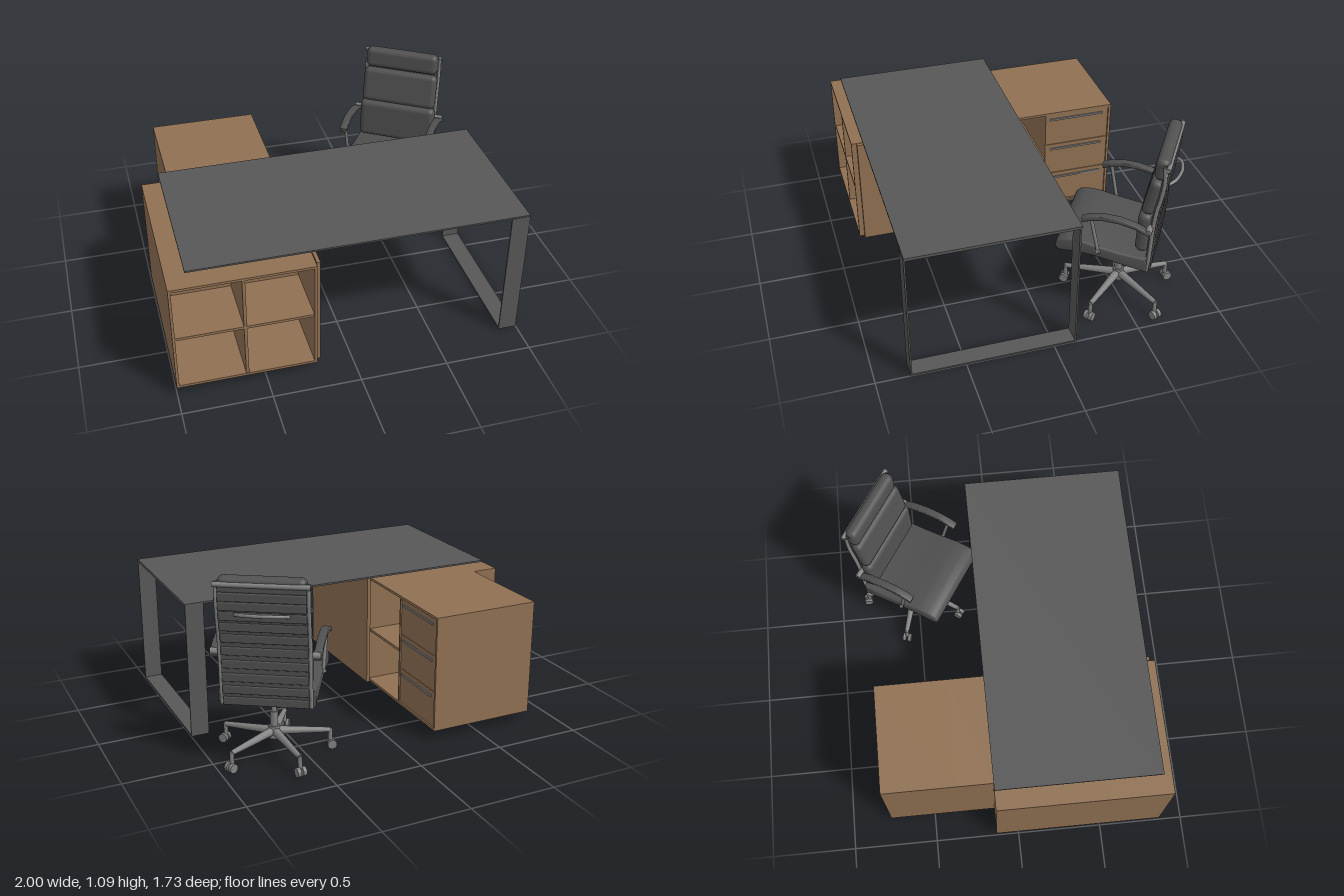
import * as THREE from 'three';
import { toCreasedNormals } from 'three/addons/utils/BufferGeometryUtils.js';
import { RoundedBoxGeometry } from 'three/addons/geometries/RoundedBoxGeometry.js';

const mat = (name, color) => {
  const m = new THREE.MeshStandardMaterial({ color });
  m.name = name;
  return m;
};
const V = (x, y, z) => new THREE.Vector3(x, y, z);

export function createModel() {
  const wood = mat('wood', 0x8f7052);
  const dark = mat('dark lacquer', 0x575757);
  const leather = mat('leather', 0x505050);
  const metal = mat('metal', 0x808080);

  const model = new THREE.Group();
  model.name = 'deskSet';
  const group = (name, parent = model) => {
    const g = new THREE.Group();
    g.name = name;
    parent.add(g);
    return g;
  };
  const add = (parent, name, geometry, material) => {
    const m = new THREE.Mesh(geometry, material);
    m.name = name;
    parent.add(m);
    return m;
  };
  // Box given by its limits on each axis
  const box = (parent, name, material, x0, x1, y0, y1, z0, z1) => {
    const m = add(parent, name, new THREE.BoxGeometry(x1 - x0, y1 - y0, z1 - z0), material);
    m.position.set((x0 + x1) / 2, (y0 + y1) / 2, (z0 + z1) / 2);
    return m;
  };
  // Cylinder between two points
  const rod = (parent, name, material, a, b, r0, r1 = r0, sides = 16) => {
    const d = b.clone().sub(a);
    const m = add(parent, name, new THREE.CylinderGeometry(r1, r0, d.length(), sides), material);
    m.position.copy(a).addScaledVector(d, 0.5);
    m.quaternion.setFromUnitVectors(V(0, 1, 0), d.normalize());
    return m;
  };
  const tube = (parent, name, material, points, r) => add(parent, name,
    new THREE.TubeGeometry(new THREE.CatmullRomCurve3(points), 24, r, 8), material);
  // Closed rectangular band of flat bar, extruded along z
  const band = (a0, a1, y0, y1, t, width) => {
    const rect = (s, d) => s.moveTo(a0 + d, y0 + d).lineTo(a1 - d, y0 + d)
      .lineTo(a1 - d, y1 - d).lineTo(a0 + d, y1 - d).closePath();
    const shape = rect(new THREE.Shape(), 0);
    shape.holes.push(rect(new THREE.Path(), t));
    return new THREE.ExtrudeGeometry(shape, { depth: width, bevelEnabled: false }).translate(0, 0, -width / 2);
  };
  // Outline in (z, y), extruded across x
  const across = (points, width, bevel) => {
    const shape = new THREE.Shape(points.map(p => new THREE.Vector2(...p)));
    const g = new THREE.ExtrudeGeometry(shape, {
      depth: width - 2 * bevel, bevelEnabled: bevel > 0, bevelSize: bevel,
      bevelThickness: bevel, bevelOffset: -bevel, bevelSegments: 3,
    }).translate(0, 0, -width / 2 + bevel).rotateY(-Math.PI / 2);
    return toCreasedNormals(g, 0.7);
  };

  // ---- Desk ----
  const desk = group('desk');
  box(desk, 'deskTop', dark, -0.9, 1, 0.785, 0.795, -0.135, 0.805);
  add(desk, 'deskLeg', band(-0.13, 0.808, 0, 0.787, 0.009, 0.105).rotateY(-Math.PI / 2), dark).position.x = 0.947;
  box(desk, 'deskSupport', dark, -0.63, -0.27, 0.73, 0.772, 0.085, 0.655);
  for (const x of [-0.58, -0.32]) for (const z of [0.13, 0.61]) {
    rod(desk, 'supportSpacer', dark, V(x, 0.77, z), V(x, 0.786, z), 0.02);
  }

  // ---- Cabinet ----
  const cab = group('cabinet');
  const L = -1, R = -0.215, B = 0.055, T = 0.73, p = 0.015;
  box(cab, 'core', wood, L, R, B, T, 0.04, 0.5);
  // front cubbies
  box(cab, 'cubbyLeftWall', wood, L, L + p, B, T, 0.5, 0.86);
  box(cab, 'cubbyRightWall', wood, R - p, R, B, T, 0.5, 0.86);
  box(cab, 'cubbyTop', wood, L + p, R - p, T - p, T, 0.5, 0.86);
  box(cab, 'cubbyBottom', wood, L + p, R - p, B, B + p, 0.5, 0.86);
  box(cab, 'cubbyUpright', wood, -0.616, -0.599, B + p, T - p, 0.5, 0.855);
  box(cab, 'cubbyShelf', wood, L + p, R - p, 0.386, 0.402, 0.5, 0.855);
  // sliding door on the right side
  box(cab, 'slidingDoor', wood, R + 0.004, -0.19, B, T, 0.02, 0.83);
  // open shelves on the right side
  box(cab, 'shelfTopWide', wood, L, R, T - p, T, -0.135, 0.04);
  box(cab, 'shelfBottomWide', wood, L, R, B, B + p, -0.135, 0.04);
  box(cab, 'shelfTopNarrow', wood, -0.845, R, T - p, T, -0.345, -0.135);
  box(cab, 'shelfBottomNarrow', wood, -0.845, R, B, B + p, -0.345, -0.135);
  box(cab, 'shelfBackWide', wood, L, -0.8, B + p, T - p, -0.135, 0.04);
  box(cab, 'shelfBackNarrow', wood, -0.845, -0.8, B + p, T - p, -0.345, -0.135);
  box(cab, 'openShelf', wood, -0.8, R - 0.005, 0.382, 0.398, -0.345, 0.04);
  // drawer unit
  box(cab, 'drawerBody', wood, -0.845, -0.24, B, T, -0.765, -0.34);
  box(cab, 'drawerFrameRear', wood, -0.24, R, B, T, -0.765, -0.75);
  box(cab, 'drawerFrameFront', wood, -0.24, R, B, T, -0.35, -0.34);
  box(cab, 'drawerFrameTop', wood, -0.24, R, T - p, T, -0.75, -0.35);
  box(cab, 'drawerFrameBottom', wood, -0.24, R, B, B + p, -0.75, -0.35);
  for (let i = 0; i < 3; i++) {
    const y = 0.072 + i * 0.2145;
    box(cab, 'drawerFront', wood, -0.24, -0.222, y, y + 0.211, -0.748, -0.352);
    box(cab, 'drawerHandle', metal, -0.222, -0.214, y + 0.172, y + 0.184, -0.71, -0.37);
  }
  // hollow runners under the cabinet
  add(cab, 'frontRunner', band(-0.945, -0.27, 0, 0.055, 0.005, 0.105), dark).position.z = 0.658;
  add(cab, 'rearRunner', band(-0.79, -0.27, 0, 0.055, 0.005, 0.14), dark).position.z = -0.57;

  // ---- Office chair, facing local +z ----
  const chair = group('chair');
  chair.position.set(0.645, 0, -0.508);
  chair.rotation.y = -0.575;

  // star base with castors
  const base = group('base', chair);
  rod(base, 'hub', metal, V(0, 0.095, 0), V(0, 0.165, 0), 0.036, 0.03, 20);
  rod(base, 'columnSleeve', metal, V(0, 0.16, 0), V(0, 0.25, 0), 0.022);
  rod(base, 'column', metal, V(0, 0.25, 0), V(0, 0.37, 0), 0.014);
  for (let i = 0; i < 5; i++) {
    const arm = group('baseArm', base);
    arm.rotation.y = i * Math.PI * 2 / 5;
    rod(arm, 'spoke', metal, V(0, 0.132, 0.02), V(0, 0.108, 0.31), 0.024, 0.014, 12);
    rod(arm, 'castorStem', metal, V(0, 0.04, 0.31), V(0, 0.115, 0.31), 0.012);
    for (const s of [-1, 1]) {
      rod(arm, 'castorWheel', metal, V(s * 0.006, 0.026, 0.318), V(s * 0.026, 0.026, 0.318), 0.026, 0.026, 20);
    }
  }

  // tilt mechanism
  box(chair, 'mechanism', metal, -0.08, 0.08, 0.355, 0.41, -0.13, 0.1);
  box(chair, 'seatBracket', metal, -0.19, 0.19, 0.395, 0.415, -0.03, 0.03);
  rod(chair, 'tensionKnob', metal, V(0, 0.365, 0.08), V(0, 0.335, 0.14), 0.024);
  rod(chair, 'lever', metal, V(-0.17, 0.35, 0.0), V(0.17, 0.35, 0.0), 0.007);

  // seat
  add(chair, 'seat', across([[0.322, 0.445], [0.318, 0.475], [0.295, 0.498], [0.25, 0.51], [0.18, 0.508],
    [0.08, 0.488], [-0.05, 0.468], [-0.19, 0.46], [-0.19, 0.37], [-0.05, 0.392], [0.1, 0.42],
    [0.2, 0.425], [0.29, 0.42], [0.312, 0.428]], 0.52, 0.012), leather);

  // curved back shell
  const rear = [[-0.2, 0.365], [-0.212, 0.48], [-0.216, 0.62], [-0.228, 0.76], [-0.25, 0.88], [-0.258, 0.98], [-0.25, 1.06]];
  const spine = new THREE.SplineCurve(rear.map(q => new THREE.Vector2(...q)));
  const outline = spine.getPoints(24).map(q => [q.x, q.y]);
  const front = outline.map(([z, y]) => [z + 0.03, y]).reverse();
  add(chair, 'backShell', across([...outline, ...front], 0.46, 0), leather);
  for (let i = 0; i < 11; i++) {
    const q = spine.getPoint(0.05 + i * 0.087);
    const rib = add(chair, 'backRib', new RoundedBoxGeometry(0.455, 0.048, 0.016, 2, 0.007), leather);
    rib.position.set(0, q.y, q.x);
  }
  for (const s of [-1, 1]) {
    tube(chair, 'backRail', metal, outline.filter((_, i) => i % 3 === 0).map(([z, y]) => V(s * 0.237, y, z + 0.012)), 0.011);
  }

  // back cushions and headrest
  const cushion = (name, w, h, d, y, z, tilt) => {
    const m = add(chair, name, new RoundedBoxGeometry(w, h, d, 4, d * 0.45), leather);
    m.position.set(0, y, z);
    m.rotation.x = tilt;
  };
  cushion('lowerCushion', 0.49, 0.25, 0.075, 0.612, -0.155, -0.03);
  cushion('upperCushion', 0.475, 0.22, 0.07, 0.842, -0.185, -0.2);
  cushion('headrest', 0.46, 0.13, 0.075, 1.02, -0.222, -0.06);

  // cross bar and curved handle behind the back
  rod(chair, 'topBar', metal, V(-0.25, 1.045, -0.258), V(0.25, 1.045, -0.258), 0.014);
  tube(chair, 'backHandle', metal, [V(-0.14, 0.885, -0.25), V(-0.1, 0.895, -0.285), V(0, 0.9, -0.305),
    V(0.1, 0.895, -0.285), V(0.14, 0.885, -0.25)], 0.01);

  // armrests
  for (const s of [-1, 1]) {
    const x = s * 0.272;
    const pad = [[0.175, 0.685], [0.13, 0.705], [0.06, 0.718], [-0.03, 0.715], [-0.12, 0.695], [-0.195, 0.66]];
    const under = pad.map(([z, y]) => [z - 0.004, y - 0.026]).reverse();
    add(chair, 'armPad', across([...pad, ...under], 0.045, 0.006), leather).position.x = x;
    rod(chair, 'armPost', metal, V(x, 0.69, 0.125), V(s * 0.262, 0.47, 0.08), 0.01);
    rod(chair, 'armFoot', metal, V(s * 0.275, 0.47, 0.08), V(s * 0.2, 0.43, 0.06), 0.012);
    rod(chair, 'armJoint', metal, V(s * 0.22, 0.66, -0.19), V(s * 0.29, 0.66, -0.19), 0.018);
  }
  return model;
}
